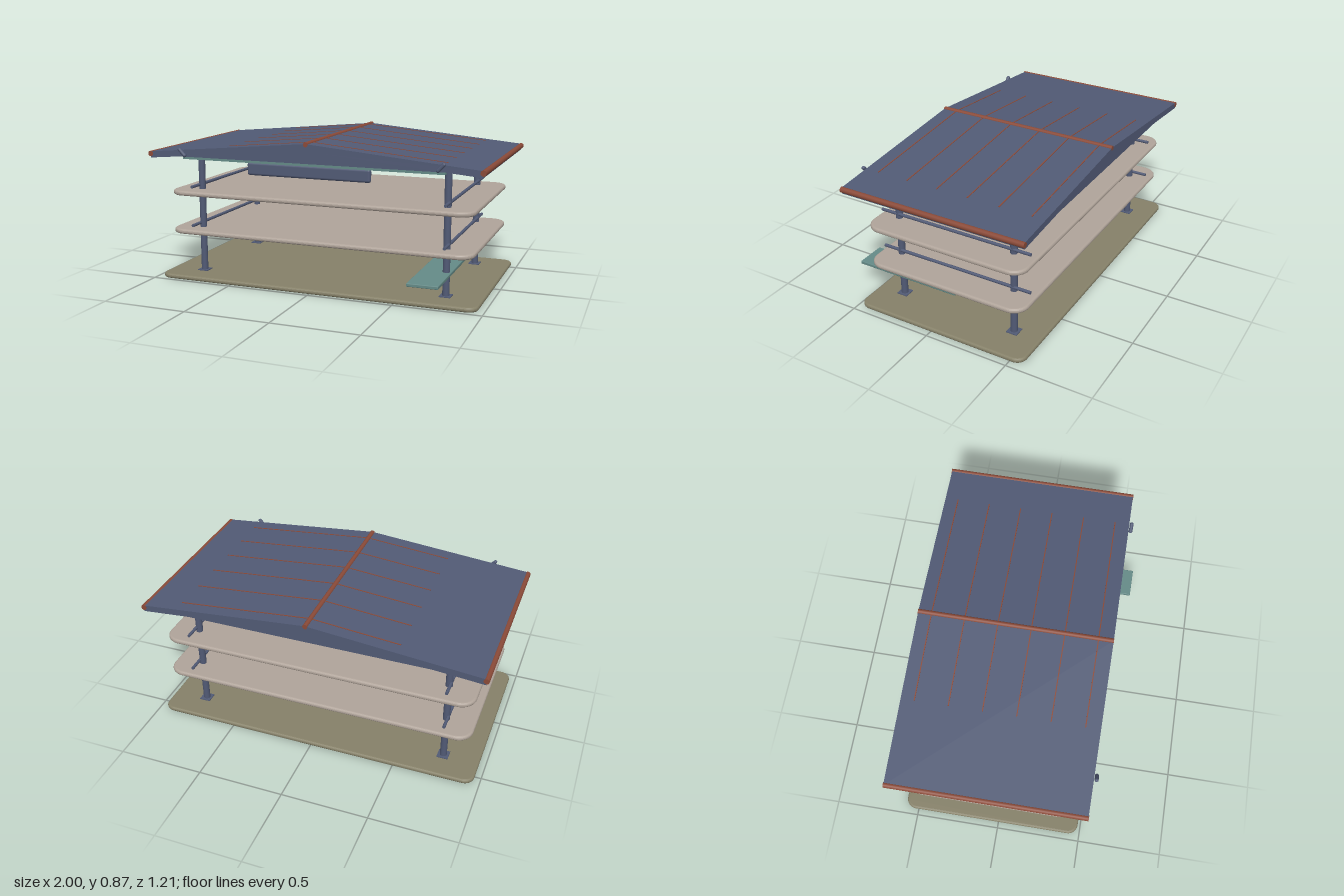
import * as THREE from 'three';
import { RoundedBoxGeometry } from 'three/addons/geometries/RoundedBoxGeometry.js';

const mat = (name, color) => Object.assign(new THREE.MeshStandardMaterial({ color }), { name });

export function createModel() {
  const slate = mat('slate blue', 0x515a75);
  const rust = mat('rust', 0x8a4a38);
  const cream = mat('warm grey', 0xafa399);
  const olive = mat('olive', 0x858068);
  const teal = mat('teal', 0x648a87);

  const model = new THREE.Group();
  model.name = 'shelvedStall';

  const add = (name, geometry, material, x = 0, y = 0, z = 0) => {
    const mesh = new THREE.Mesh(geometry, material);
    mesh.name = name;
    mesh.position.set(x, y, z);
    model.add(mesh);
    return mesh;
  };
  const box = (w, h, d) => new THREE.BoxGeometry(w, h, d);
  const rodZ = (r, len, seg = 16) => new THREE.CylinderGeometry(r, r, len, seg).rotateX(Math.PI / 2);

  // Flat board with rounded plan corners and a rounded rim, lying on y = 0
  const board = (w, d, h, corner) => {
    const b = h * 0.45;
    const x = w / 2 - b, y = d / 2 - b, r = corner - b;
    const s = new THREE.Shape();
    s.moveTo(-x + r, -y);
    s.lineTo(x - r, -y);
    s.absarc(x - r, -y + r, r, -Math.PI / 2, 0);
    s.absarc(x - r, y - r, r, 0, Math.PI / 2);
    s.absarc(-x + r, y - r, r, Math.PI / 2, Math.PI);
    s.absarc(-x + r, -y + r, r, Math.PI, Math.PI * 1.5);
    const g = new THREE.ExtrudeGeometry(s, {
      depth: h - 2 * b, bevelEnabled: true, bevelSize: b, bevelThickness: b, bevelSegments: 4, curveSegments: 8,
    });
    return g.translate(0, 0, b).rotateX(-Math.PI / 2);
  };

  // Outline in x/y pushed from z0 to z1
  const prism = (pts, z0, z1) => {
    const s = new THREE.Shape(pts.map(([x, y]) => new THREE.Vector2(x, y)));
    return new THREE.ExtrudeGeometry(s, { depth: z1 - z0, bevelEnabled: false }).translate(0, 0, z0);
  };

  // Base and shelves
  add('base', board(1.93, 1.062, 0.028, 0.06), olive, 0, 0, -0.047);
  add('lowerShelf', board(1.845, 0.985, 0.029, 0.09), cream, 0, 0.269, -0.055);
  add('upperShelf', board(1.845, 0.985, 0.029, 0.09), cream, 0, 0.502, -0.055);

  // Posts with foot plates, and side rails
  for (const side of [-1, 1]) {
    for (const z of [0.318, -0.412]) {
      add('post', new THREE.CylinderGeometry(0.02, 0.02, 0.74, 20), slate, side * 0.756, 0.385, z);
      add('footPlate', box(0.065, 0.006, 0.065), slate, side * 0.756, 0.03, z);
    }
    for (const y of [0.324, 0.558]) {
      add('sideRail', rodZ(0.009, 0.945), slate, side * 0.768, y, -0.0475);
    }
  }

  // Pitched roof slab and the closed gable under it
  const front = 0.51, back = -0.604, mid = (front + back) / 2, depth = front - back;
  add('roof', prism([[-0.99, 0.771], [-0.984, 0.735], [0, 0.82], [0.984, 0.735], [0.99, 0.771], [0, 0.862]],
    back, front), slate);
  add('gable', prism([[-0.8, 0.75], [0.8, 0.75], [0, 0.822]], back + 0.012, front - 0.012), slate);

  // Rust ridge and eave trims
  add('ridgeCap', rodZ(0.014, depth + 0.002), rust, 0, 0.858, mid);
  for (const side of [-1, 1]) add('eaveTrim', rodZ(0.016, depth + 0.005), rust, side * 0.984, 0.759, mid);

  // Roof seams running down each slope, barely proud of the surface
  const slope = Math.atan2(0.091, 0.99);
  for (let i = 0; i < 6; i++) {
    const z = 0.425 - i * 0.1905;
    for (const [side, len] of [[1, 0.78], [-1, 0.51]]) {
      const x = side * len / 2;
      const seam = add('roofSeam', box(len, 0.006, 0.006), rust, x, 0.8615 - Math.abs(x) * 0.0919, z);
      seam.rotation.z = -side * slope;
    }
  }

  // Front beam with the hanging panel
  add('frontBeam', box(1.56, 0.017, 0.035), teal, 0, 0.744, 0.475);
  add('hangingPanel', new RoundedBoxGeometry(0.735, 0.075, 0.032, 4, 0.014), slate, 0, 0.702, 0.474);

  // Slanted front pegs and small fittings under the roof
  for (const side of [-1, 1]) {
    const peg = add('frontPeg', new THREE.CapsuleGeometry(0.011, 0.045, 6, 12), slate, side * 0.765, 0.778, 0.524);
    peg.rotation.z = -side * 0.75;
    add('ceilingDisc', new THREE.CylinderGeometry(0.027, 0.027, 0.02, 20), slate, side * 0.515, 0.741, 0.178);
    add('postFitting', box(0.045, 0.006, 0.03), slate, side * 0.7, 0.722, 0.318);
  }

  // Side step board
  add('stepBoard', new RoundedBoxGeometry(0.175, 0.019, 0.655, 2, 0.004), teal, 0.6975, 0.157, 0.2775);

  return model;
}
